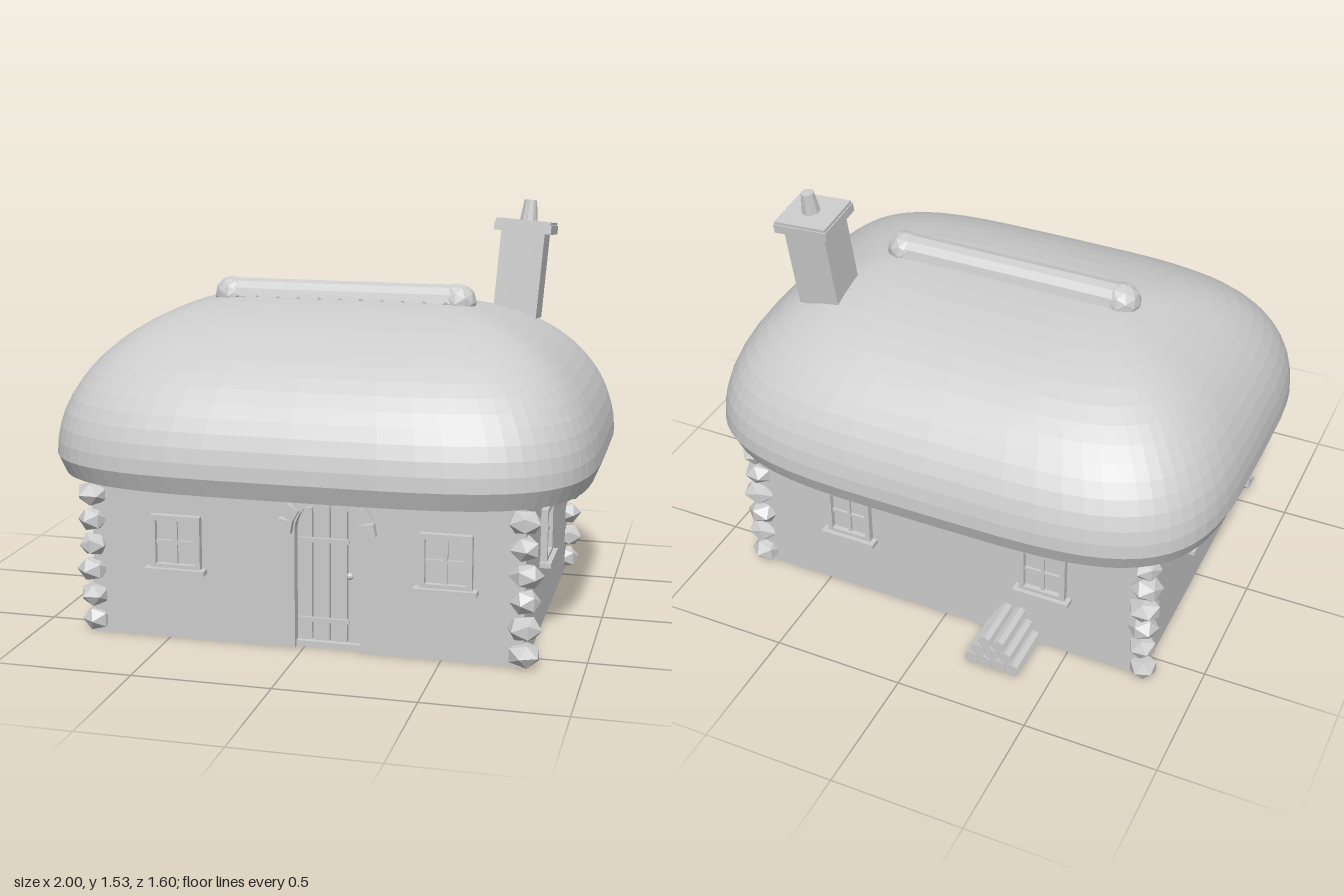
import * as THREE from 'three';

const gray = new THREE.MeshStandardMaterial({ color: 0xcccccc, flatShading: true });
gray.name = 'plain gray';

const W = 0.79, D = 0.6, T = 0.12; // wall half width, half depth, thickness

function add(parent, name, geo, x = 0, y = 0, z = 0) {
  const m = new THREE.Mesh(geo, gray);
  m.name = name;
  m.position.set(x, y, z);
  parent.add(m);
  return m;
}
const box = (p, name, w, h, d, x, y, z) => add(p, name, new THREE.BoxGeometry(w, h, d), x, y, z);

function group(parent, name, x = 0, y = 0, z = 0) {
  const g = new THREE.Group();
  g.name = name;
  g.position.set(x, y, z);
  parent.add(g);
  return g;
}

function seeded(seed) {
  return () => (seed = (seed * 16807) % 2147483647) / 2147483647;
}

// Domed thatch: stacked superellipse rings shrinking to a ridge line, closed by a flat underside
function roofGeometry() {
  const S = 64, N = 16, n = 4, pos = [], idx = [];
  const ring = (a, b, y) => {
    for (let i = 0; i < S; i++) {
      const t = (i / S) * Math.PI * 2, c = Math.cos(t), s = Math.sin(t);
      pos.push(a * Math.sign(c) * Math.abs(c) ** (2 / n), y, b * Math.sign(s) * Math.abs(s) ** (2 / n));
    }
  };
  ring(0.975, 0.772, 0.584);
  for (let k = 0; k <= N; k++) {
    const t = (k / N) * Math.PI / 2;
    ring(0.35 + 0.65 * Math.cos(t), 0.798 * Math.cos(t), 0.65 + 0.53 * Math.sin(t));
  }
  const base = pos.length / 3;
  pos.push(0, 0.584, 0);
  for (let i = 0; i < S; i++) {
    const j = (i + 1) % S;
    for (let k = 0; k <= N; k++) {
      const a = k * S + i, b = k * S + j;
      idx.push(a, a + S, b, b, a + S, b + S);
    }
    idx.push(base, i, j);
  }
  const g = new THREE.BufferGeometry();
  g.setAttribute('position', new THREE.Float32BufferAttribute(pos, 3));
  g.setIndex(idx);
  g.computeVertexNormals();
  return g;
}

// Window facing local +z, with its wall face at z = 0
function addWindow(parent, x, z, angle, w) {
  const g = group(parent, 'window', x, 0.363, z);
  g.rotation.y = angle;
  const h = 0.2, f = 0.02;
  box(g, 'pane', w - 0.03, h - 0.03, 0.14, 0, 0, -0.065);
  for (const s of [-1, 1]) {
    box(g, 'frameSide', f, h, 0.04, s * (w - f) / 2, 0, 0.005);
    box(g, 'frameRail', w - 2 * f, f, 0.04, 0, s * (h - f) / 2, 0.005);
  }
  box(g, 'mullion', 0.012, h - 2 * f, 0.02, 0, 0, 0.005);
  box(g, 'glazingBar', w - 2 * f, 0.012, 0.02, 0, 0, 0.005);
  box(g, 'sill', w + 0.038, 0.018, 0.06, 0, -h / 2 - 0.003, 0.012);
}

export function createModel() {
  const model = new THREE.Group();
  model.name = 'cottage';
  const rand = seeded(77);
  const doorX = 0.09, doorR = 0.12, spring = 0.43, wallTop = 0.62;

  // Hollow walls, with an arched doorway through the front
  const walls = group(model, 'walls');
  const face = new THREE.Shape();
  face.moveTo(-W, 0);
  face.lineTo(doorX - doorR, 0);
  face.lineTo(doorX - doorR, spring);
  face.absarc(doorX, spring, doorR, Math.PI, 0, true);
  face.lineTo(doorX + doorR, 0);
  face.lineTo(W, 0);
  face.lineTo(W, wallTop);
  face.lineTo(-W, wallTop);
  add(walls, 'frontWall', new THREE.ExtrudeGeometry(face, { depth: T, bevelEnabled: false }), 0, 0, D - T);
  box(walls, 'backWall', W * 2, wallTop, T, 0, wallTop / 2, -D + T / 2);
  for (const s of [-1, 1]) box(walls, 'sideWall', T, wallTop, 2 * (D - T), s * (W - T / 2), wallTop / 2, 0);

  // Roof and ridge roll
  add(model, 'roof', roofGeometry());
  const ridge = group(model, 'ridge', 0, 1.177, 0.004);
  add(ridge, 'ridgeRoll', new THREE.CylinderGeometry(0.064, 0.064, 0.88, 12), 0, 0, 0).rotation.z = Math.PI / 2;
  for (const s of [-1, 1]) add(ridge, 'ridgeEnd', new THREE.IcosahedronGeometry(0.07, 1), s * 0.435, 0, 0);
  for (let i = 0; i < 11; i++) add(ridge, 'ridgePeg', new THREE.IcosahedronGeometry(0.008, 0), -0.4 + i * 0.08, 0.004, 0.061);

  // Leaning chimney
  const chimney = group(model, 'chimney', 0.639, 1.428, -0.304);
  chimney.rotation.set(-0.1, 0, -0.07);
  box(chimney, 'chimneyStack', 0.165, 0.34, 0.16, 0, -0.17, 0);
  box(chimney, 'chimneyCap', 0.215, 0.034, 0.205, 0, -0.002, 0);
  box(chimney, 'chimneyCapTop', 0.207, 0.012, 0.197, 0, 0.02, 0);
  add(chimney, 'chimneyPot', new THREE.CylinderGeometry(0.024, 0.034, 0.08, 10), 0.006, 0.064, 0);

  // Rough corner stones
  for (const sx of [-1, 1]) for (const sz of [-1, 1]) {
    const corner = group(model, 'cornerStones', sx * W, 0, sz * 0.593);
    for (let i = 0; i < 7; i++) {
      const r = 0.92 + rand() * 0.16;
      const stone = add(corner, 'cornerStone', new THREE.IcosahedronGeometry(1, 0), (rand() - 0.5) * 0.012, 0.047 + i * 0.0945, (rand() - 0.5) * 0.012);
      stone.scale.set(0.06 * r, 0.047, 0.06 * r);
      stone.rotation.y = rand() * 6;
    }
  }

  // Door set back in the doorway
  const door = group(model, 'door', doorX, 0, D - 0.05);
  box(door, 'doorLeaf', doorR * 2, spring, 0.04, 0, spring / 2 + 0.01, -0.03);
  add(door, 'doorHead', new THREE.CylinderGeometry(doorR, doorR, 0.11, 24), 0, spring, -0.065).rotation.x = Math.PI / 2;
  for (let i = 0; i < 4; i++) {
    const h = i % 3 ? 0.525 : 0.49;
    box(door, 'doorPlank', 0.058, h, 0.02, -0.096 + i * 0.064, 0.02 + h / 2, 0);
  }
  for (const y of [0.1, 0.395]) box(door, 'hingeStrap', 0.185, 0.016, 0.012, -0.022, y, 0.014);
  add(door, 'doorKnob', new THREE.SphereGeometry(0.013, 10, 8), 0.075, 0.272, 0.02);
  box(door, 'threshold', doorR * 2, 0.022, 0.1, 0, 0.011, -0.02);

  // Arch stones around the door head
  const arch = group(model, 'doorArch', doorX, spring, D);
  for (let i = 0; i < 9; i++) {
    const a = THREE.MathUtils.degToRad(10 + i * 20);
    box(arch, 'archStone', 0.053, 0.046, 0.06, Math.cos(a) * 0.152, Math.sin(a) * 0.152, 0).rotation.z = a;
  }

  // Windows
  addWindow(model, -0.468, D, 0, 0.187);
  addWindow(model, 0.516, D, 0, 0.187);
  for (const x of [-0.4, 0.392]) addWindow(model, x, -D, Math.PI, 0.18);
  addWindow(model, W, 0.138, Math.PI / 2, 0.168);
  addWindow(model, -W, -0.075, -Math.PI / 2, 0.168);

  // Firewood stacked behind the house
  const pile = group(model, 'logPile', -0.28, 0, -0.7);
  const r = 0.0275;
  for (let row = 0; row < 3; row++) {
    const n = 4 - row;
    for (let i = 0; i < n; i++) {
      const log = add(pile, 'log', new THREE.CylinderGeometry(r, r, 0.2, 8), (i - (n - 1) / 2) * 2 * r, r + row * r * 1.732, 0);
      log.rotation.x = Math.PI / 2;
    }
  }
  return model;
}
